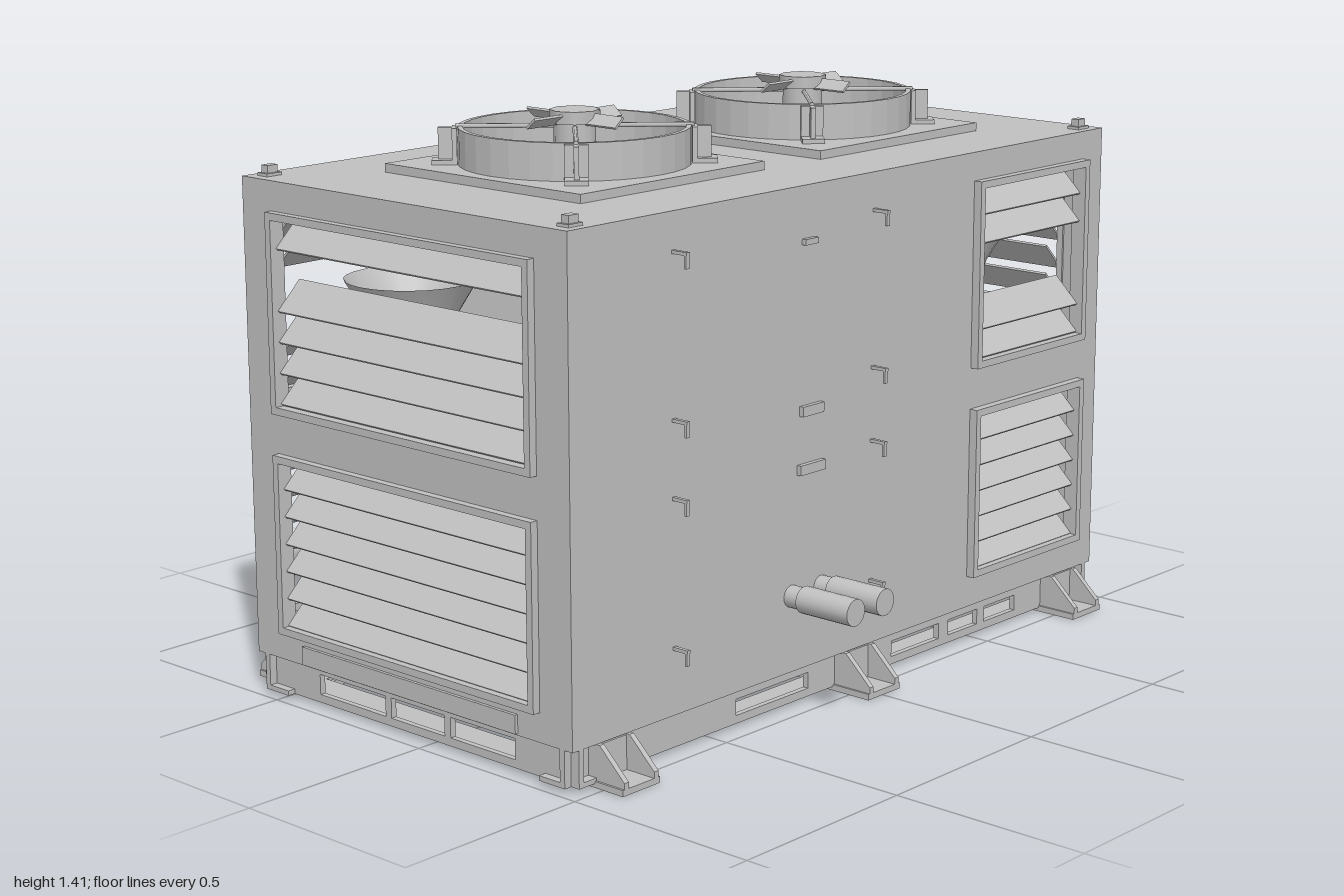
import * as THREE from 'three';

const grey = new THREE.MeshStandardMaterial({ color: 0xc0c0c0, side: THREE.DoubleSide });
grey.name = 'galvanised grey';

const W = 0.98, D = 0.53, FLOOR = 0.1, ROOF = 1.26;

function add(parent, name, geometry, x = 0, y = 0, z = 0) {
  const mesh = new THREE.Mesh(geometry, grey);
  mesh.name = name;
  mesh.position.set(x, y, z);
  parent.add(mesh);
  return mesh;
}
const box = (parent, name, w, h, d, x, y, z) => add(parent, name, new THREE.BoxGeometry(w, h, d), x, y, z);

// Rectangle path from its edges
function rect(Type, x0, x1, y0, y1) {
  const p = new Type();
  p.moveTo(x0, y0).lineTo(x1, y0).lineTo(x1, y1).lineTo(x0, y1).closePath();
  return p;
}

// Flat sheet with rectangular [x0, x1, y0, y1] and round [x, y, r] holes
function sheet(edges, holes, depth) {
  const shape = rect(THREE.Shape, ...edges);
  for (const h of holes) {
    shape.holes.push(h.length === 4 ? rect(THREE.Path, ...h) : new THREE.Path().absarc(h[0], h[1], h[2], 0, Math.PI * 2, true));
  }
  return new THREE.ExtrudeGeometry(shape, { depth, bevelEnabled: false, curveSegments: 20 });
}

// Raised frame with sloping slats, facing +z; skip lists slats left out
function louvre(x0, x1, y0, y1, skip = []) {
  const g = new THREE.Group();
  g.name = 'louvre';
  const t = 0.018;
  add(g, 'louvreFrame', sheet([x0, x1, y0, y1], [[x0 + t, x1 - t, y0 + t, y1 - t]], 0.04), 0, 0, -0.018);
  const n = 6, pitch = (y1 - y0 - 2 * t) / n;
  for (let i = 0; i < n; i++) {
    if (skip.includes(i)) continue;
    const slat = box(g, 'louvreSlat', x1 - x0 - 2 * t, 0.006, 0.095, (x0 + x1) / 2, y0 + t + (i + 0.5) * pitch, -0.03);
    slat.rotation.x = 0.78;
  }
  return g;
}

// Front wall with two louvres, door hinges and latches
function frontWall() {
  const g = new THREE.Group();
  g.name = 'frontWall';
  add(g, 'frontPanel', sheet([-W, W, FLOOR, ROOF], [[0.455, 0.885, 0.735, 1.175], [0.455, 0.885, 0.195, 0.6]], 0.015), 0, 0, D - 0.015);
  const upper = louvre(0.44, 0.9, 0.72, 1.19, [2, 3]);
  const lower = louvre(0.44, 0.9, 0.18, 0.615);
  upper.position.z = lower.position.z = D;
  g.add(upper, lower);
  for (const x of [-0.65, 0.05]) {
    for (const y of [0.26, 0.61, 0.79, 1.17]) {
      box(g, 'hinge', 0.01, 0.008, 0.045, x, y, D + 0.022);
      box(g, 'hinge', 0.01, 0.035, 0.006, x, y - 0.016, D + 0.04);
    }
  }
  box(g, 'latch', 0.045, 0.014, 0.012, -0.19, 1.13, D + 0.006);
  box(g, 'latch', 0.075, 0.024, 0.012, -0.18, 0.73, D + 0.006);
  box(g, 'latch', 0.09, 0.024, 0.012, -0.18, 0.59, D + 0.006);
  return g;
}

// End wall with two wide louvres
function endWall() {
  const g = new THREE.Group();
  g.name = 'endWall';
  add(g, 'endPanel', sheet([-D, D, FLOOR, ROOF], [[-0.415, 0.415, 0.725, 1.175], [-0.415, 0.415, 0.185, 0.595]], 0.015), 0, 0, W - 0.015);
  const upper = louvre(-0.43, 0.43, 0.71, 1.19, [4]);
  const lower = louvre(-0.43, 0.43, 0.17, 0.61);
  upper.position.z = lower.position.z = W - 0.002;
  g.add(upper, lower);
  box(g, 'endSill', 0.72, 0.045, 0.01, 0, 0.127, W + 0.003);
  // Slotted end rail of the base
  add(g, 'endRail', sheet([-D, D, 0.015, FLOOR], [[-0.33, -0.1, 0.03, 0.08], [-0.08, 0.1, 0.03, 0.08], [0.12, 0.33, 0.03, 0.08]], 0.015), 0, 0, W - 0.035);
  box(g, 'railFlange', 2 * D, 0.012, 0.1, 0, 0.016, W - 0.07);
  g.rotation.y = Math.PI / 2;
  return g;
}

// Outrigger foot: sole plate, inner web and two sloping gussets
function foot(x) {
  const g = new THREE.Group();
  g.name = 'foot';
  const s = new THREE.Shape();
  s.moveTo(0.46, 0).lineTo(0.615, 0).lineTo(0.615, 0.03).lineTo(0.54, 0.1).lineTo(0.46, 0.1).closePath();
  const geo = new THREE.ExtrudeGeometry(s, { depth: 0.014, bevelEnabled: false });
  geo.rotateY(-Math.PI / 2);
  add(g, 'footGusset', geo, -0.041);
  add(g, 'footGusset', geo, 0.055);
  box(g, 'footSole', 0.12, 0.015, 0.2, 0, 0.0075, 0.515);
  box(g, 'footWeb', 0.1, 0.085, 0.012, 0, 0.055, 0.525);
  g.position.x = x;
  return g;
}

// Fan outlet: mounting plate, ring, brackets, spokes, hub and blades
function fan(x) {
  const g = new THREE.Group();
  g.name = 'fan';
  const plate = add(g, 'fanPlate', sheet([-0.31, 0.31, -0.32, 0.32], [[0, 0, 0.263]], 0.022), 0, ROOF, 0);
  plate.rotation.x = -Math.PI / 2;
  const annulus = new THREE.Shape().absarc(0, 0, 0.275, 0, Math.PI * 2, false);
  annulus.holes.push(new THREE.Path().absarc(0, 0, 0.263, 0, Math.PI * 2, true));
  const ring = add(g, 'fanRing', new THREE.ExtrudeGeometry(annulus, { depth: 0.1, bevelEnabled: false, curveSegments: 16 }), 0, 1.27, 0);
  ring.rotation.x = -Math.PI / 2;
  // Bell mouth below the roof
  const bell = [[0.265, 1.28], [0.27, 1.18], [0.29, 1.1], [0.34, 1.04]].map(p => new THREE.Vector2(...p));
  add(g, 'bellMouth', new THREE.LatheGeometry(bell, 40));
  for (let i = 0; i < 4; i++) {
    const arm = new THREE.Group();
    arm.name = 'fanArm';
    arm.rotation.y = Math.PI / 4 + i * Math.PI / 2;
    box(arm, 'ringBracket', 0.05, 0.085, 0.012, 0.295, 1.325, 0);
    box(arm, 'ringBracket', 0.012, 0.085, 0.055, 0.281, 1.325, 0);
    box(arm, 'bracketFoot', 0.06, 0.012, 0.055, 0.305, 1.287, 0);
    const spoke = add(arm, 'spoke', new THREE.CylinderGeometry(0.006, 0.006, 0.24, 6), 0.16, 1.37, 0);
    spoke.rotation.z = Math.PI / 2;
    g.add(arm);
  }
  add(g, 'hub', new THREE.CylinderGeometry(0.06, 0.06, 0.03, 8).toNonIndexed(), 0, 1.393, 0);
  add(g, 'motor', new THREE.CylinderGeometry(0.05, 0.05, 0.16, 16), 0, 1.3, 0);
  for (let i = 0; i < 4; i++) {
    const pivot = new THREE.Group();
    pivot.name = 'fanBlade';
    pivot.rotation.y = i * Math.PI / 2;
    box(pivot, 'blade', 0.1, 0.006, 0.035, 0.095, 1.388, 0).rotation.x = 0.7;
    g.add(pivot);
  }
  g.position.x = x;
  return g;
}

export function createModel() {
  const model = new THREE.Group();
  model.name = 'rooftopCondenserUnit';
  const unit = new THREE.Group();
  unit.name = 'unit';
  unit.position.z = -0.055;
  model.add(unit);

  // Each half repeats turned half round
  for (const turn of [0, Math.PI]) {
    const half = new THREE.Group();
    half.name = turn ? 'backHalf' : 'frontHalf';
    half.rotation.y = turn;
    half.add(frontWall(), endWall(), fan(0.413));
    for (const x of [-0.85, 0.005, 0.85]) half.add(foot(x));
    // Long base rail with fork pockets
    add(half, 'longRail', sheet([-W, W, 0.015, FLOOR], [[-0.41, -0.15, 0.03, 0.07], [0.17, 0.36, 0.03, 0.07], [0.4, 0.52, 0.03, 0.07], [0.55, 0.68, 0.03, 0.07]], 0.015), 0, 0, D - 0.04);
    box(half, 'railFlange', 2 * W, 0.012, 0.08, 0, 0.016, D - 0.065);
    box(half, 'crossRail', 0.012, 0.085, 2 * D - 0.06, 0.055, 0.055, 0);
    for (const x of [-0.93, 0.93]) {
      box(half, 'liftingLug', 0.045, 0.008, 0.035, x, ROOF + 0.004, D - 0.04);
      box(half, 'liftingLug', 0.03, 0.026, 0.022, x, ROOF + 0.013, D - 0.04);
    }
    // Air duct seen through the upper louvre
    const duct = [[0.06, 0.74], [0.07, 0.83], [0.1, 0.92], [0.16, 1.02]].map(p => new THREE.Vector2(...p));
    add(half, 'airDuct', new THREE.LatheGeometry(duct, 24), 0.72, 0, 0.24);
    unit.add(half);
  }

  // Roof, floor and inner divider
  const roof = add(unit, 'roof', sheet([-W, W, -D, D], [[-0.413, 0, 0.263], [0.413, 0, 0.263]], 0.015), 0, ROOF - 0.014, 0);
  roof.rotation.x = -Math.PI / 2;
  box(unit, 'floor', 2 * W - 0.01, 0.012, 2 * D - 0.01, 0, FLOOR + 0.006, 0);
  box(unit, 'divider', 0.015, ROOF - FLOOR - 0.04, 2 * D - 0.04, 0, (ROOF + FLOOR) / 2, 0);
  box(unit, 'innerShelf', 2 * W - 0.04, 0.012, 2 * D - 0.04, 0, 0.66, 0);
  box(unit, 'crossFlange', 0.11, 0.012, 2 * D - 0.06, 0, 0.016, 0);

  // Water connections
  for (const x of [-0.243, -0.135]) {
    const neck = add(unit, 'pipeNeck', new THREE.CylinderGeometry(0.027, 0.027, 0.08, 20), x, 0.288, D + 0.035);
    const pipe = add(unit, 'pipe', new THREE.CylinderGeometry(0.033, 0.033, 0.155, 20), x, 0.288, D + 0.118);
    neck.rotation.x = pipe.rotation.x = Math.PI / 2;
  }
  return model;
}
